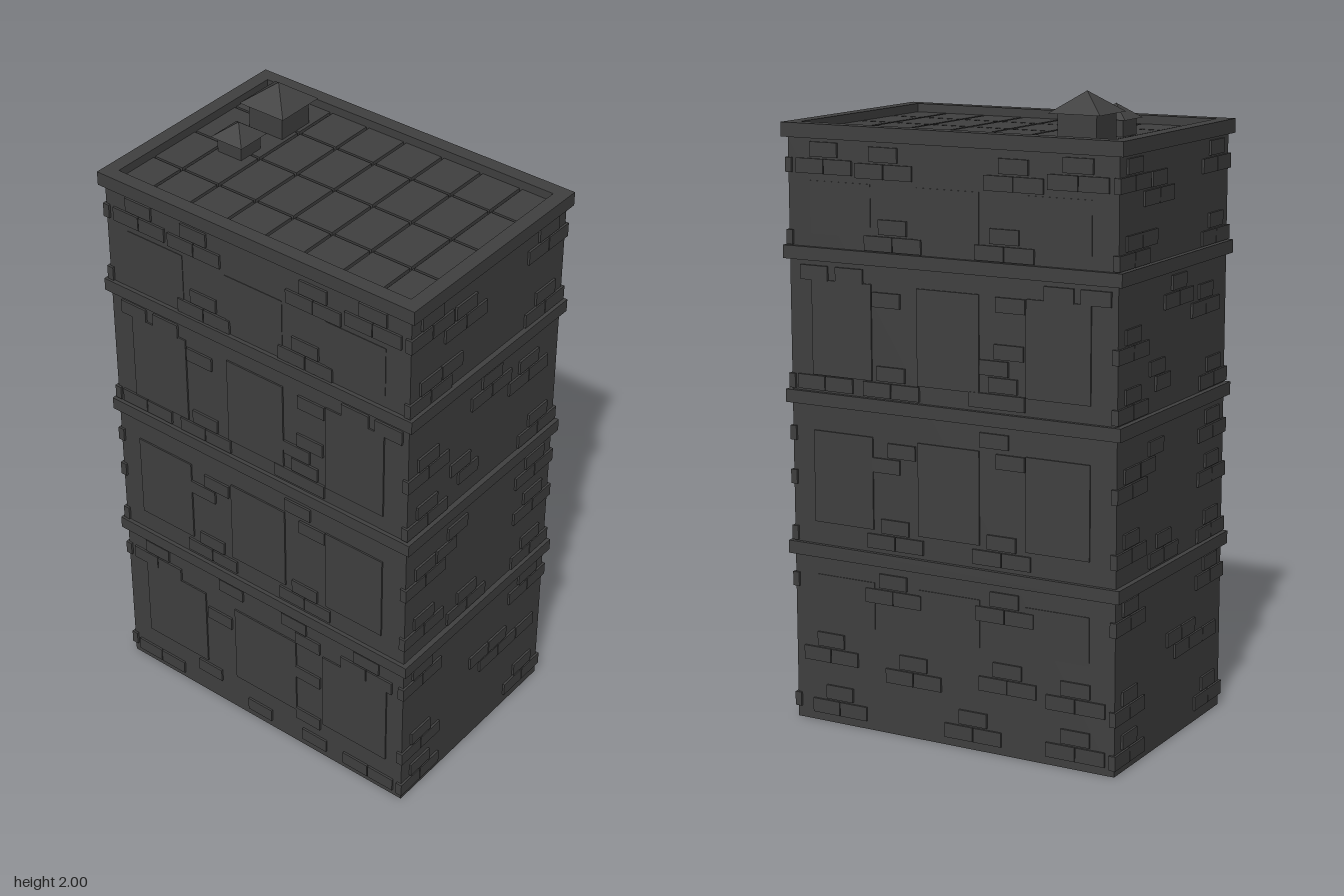
import * as THREE from 'three';

const W = 0.559, D = 0.371; // half width and half depth of the wall faces
const mat = new THREE.MeshStandardMaterial({ color: 0x404040, flatShading: true, side: THREE.DoubleSide });

function add(parent, name, geo, x = 0, y = 0, z = 0) {
  const m = new THREE.Mesh(geo, mat);
  m.name = name;
  m.position.set(x, y, z);
  parent.add(m);
  return m;
}

// Rectangular ring (half sizes w, d; wall thickness t) standing from y0 to y1
function ring(w, d, t, y0, y1) {
  const rect = (P, a, b) => {
    const p = new P();
    p.moveTo(-a, -b); p.lineTo(a, -b); p.lineTo(a, b); p.lineTo(-a, b); p.closePath();
    return p;
  };
  const s = rect(THREE.Shape, w, d);
  s.holes.push(rect(THREE.Path, w - t, d - t));
  return new THREE.ExtrudeGeometry(s, { depth: y1 - y0, bevelEnabled: false })
    .rotateX(-Math.PI / 2).translate(0, y0, 0);
}

// Brick patterns: [u, y] seen from outside; a stack is one brick on top of two
const frontStacks = [[-.43, 1.805], [-.22, 1.80], [.22, 1.79], [.43, 1.805], [-.19, 1.585], [.19, 1.585],
  [-.2, 1.14], [-.19, .665], [.18, .665]];
const frontBricks = [[-.47, 1.43], [-.345, 1.43], [.37, 1.43], [.49, 1.43], [-.215, 1.365], [.21, 1.385],
  [.205, 1.245], [.155, 1.195], [.185, 1.145], [.12, 1.095], [.21, 1.095], [-.485, 1.09], [-.385, 1.09],
  [.155, .975], [-.165, .905], [-.22, .855], [.21, .915]];
const groundFrontStacks = [[-.43, .505], [.42, .505]];
const groundFrontBricks = [[-.12, .505], [.135, .505], [.19, .455], [-.17, .36], [.19, .31], [-.22, .105],
  [.19, .13], [-.485, .045], [-.385, .045], [-.01, .05], [.215, .05], [.38, .045], [.48, .045]];
const groundBackStacks = [[-.2, .49], [.19, .49], [-.43, .27], [-.13, .24], [.2, .27], [.43, .25],
  [-.4, .1], [.08, .1], [.43, .1]];
const sideStacks = [[-.28, 1.805], [-.12, 1.753], [.28, 1.805], [-.28, 1.585], [.28, 1.585], [.025, 1.43],
  [.215, 1.375], [-.28, 1.315], [-.28, 1.14], [.28, 1.14], [-.28, .905], [.28, .975], [.28, .835],
  [-.28, .71], [-.06, .66], [.28, .655], [-.28, .505], [.28, .505], [-.28, .23], [-.28, .095], [.28, .11]];
const sideBricks = [[-.18, 1.585], [-.12, 1.195], [-.08, 1.145], [-.12, .955], [-.175, .905],
  [.025, .325], [.125, .325], [.08, .275], [.18, .275], [.28, .275]];

const brickGeo = new THREE.BoxGeometry(0.097, 0.045, 0.022);

// Wall dressing is built facing +z, then its group is turned to its side
function dressWall(root, name, angle, dist, stacks, bricks, windows) {
  const wall = new THREE.Group();
  wall.name = name;
  wall.rotation.y = angle;
  root.add(wall);
  const brick = (u, y) => add(wall, 'brick', brickGeo, u, y, dist - 0.004);
  for (const [u, y] of stacks) {
    brick(u, y);
    brick(u - 0.05, y - 0.051);
    brick(u + 0.05, y - 0.051);
  }
  for (const [u, y] of bricks) brick(u, y);
  // Each window row: left edges, width, bottom, top, projection
  for (const [lefts, w, y0, y1, out] of windows) {
    for (const l of lefts) {
      add(wall, 'windowPanel', new THREE.BoxGeometry(w, y1 - y0, 0.01), l + w / 2, (y0 + y1) / 2, dist + out - 0.005);
    }
  }
}

// Chimney with a pyramid cap
function chimney(root, x, z, w, capW, y0, y1, top) {
  const g = new THREE.Group();
  g.name = 'chimney';
  root.add(g);
  add(g, 'chimneyStack', new THREE.BoxGeometry(w, y1 - y0, w), x, (y0 + y1) / 2, z);
  const cap = new THREE.ConeGeometry(capW / Math.SQRT2, top - y1, 4).rotateY(Math.PI / 4);
  add(g, 'chimneyCap', cap, x, (y1 + top) / 2, z);
}

export function createModel() {
  const root = new THREE.Group();
  root.name = 'building';

  // Hollow shell, open underneath, with floor bands and parapet
  add(root, 'walls', ring(W, D, 0.006, 0, 1.84));
  for (const y of [0.537, 1.02, 1.468]) add(root, 'floorBand', ring(0.576, 0.384, 0.03, y, y + 0.041));
  add(root, 'parapet', ring(0.576, 0.384, 0.045, 1.838, 1.882));

  // Roof deck and its 8 x 4 grid of slabs
  add(root, 'roofDeck', new THREE.BoxGeometry(1.08, 0.01, 0.7), 0, 1.839, 0);
  const cw = 1.062 / 8, cd = 0.68 / 4;
  const slab = new THREE.BoxGeometry(0.129, 0.012, 0.177);
  for (let i = 0; i < 8; i++) {
    for (let j = 0; j < 4; j++) {
      const x = (i - 3.5) * 0.14, z = (j - 1.5) * 0.186;
      // Outer slabs are trimmed by the parapet
      const x0 = Math.max(x - 0.065, -0.531), x1 = Math.min(x + 0.065, 0.531);
      const z0 = Math.max(z - 0.089, -0.339), z1 = Math.min(z + 0.089, 0.339);
      const m = add(root, 'roofSlab', slab, (x0 + x1) / 2, 1.849, (z0 + z1) / 2);
      m.scale.set((x1 - x0) / 0.129, 1, (z1 - z0) / 0.177);
    }
  }

  chimney(root, -0.36, -0.187, 0.127, 0.168, 1.845, 1.937, 2.0);
  chimney(root, -0.36, 0, 0.09, 0.118, 1.845, 1.905, 1.95);

  // Windows shared by the front and back
  const upper = [
    [[-0.48, -0.108, 0.262], 0.212, 0.65, 0.94, 0.005],
    [[-0.48, -0.108, 0.262], 0.212, 1.115, 1.41, 0.005],
    [[-0.48, -0.108, 0.262], 0.212, 1.55, 1.71, 0.002],
  ];
  const shop = [[-0.48, -0.108, 0.248], 0.25, 0.14, 0.43, 0.005];
  const backLow = [[-0.48, -0.108, 0.262], 0.212, 0.33, 0.48, 0.003];

  dressWall(root, 'frontWall', 0, D, [...frontStacks, ...groundFrontStacks],
    [...frontBricks, ...groundFrontBricks], [...upper, shop]);
  dressWall(root, 'backWall', Math.PI, D, [...frontStacks, ...groundBackStacks], frontBricks, [...upper, backLow]);
  for (const s of [1, -1]) {
    dressWall(root, s > 0 ? 'leftWall' : 'rightWall', s * Math.PI / 2, W, sideStacks, sideBricks, []);
  }
  return root;
}
